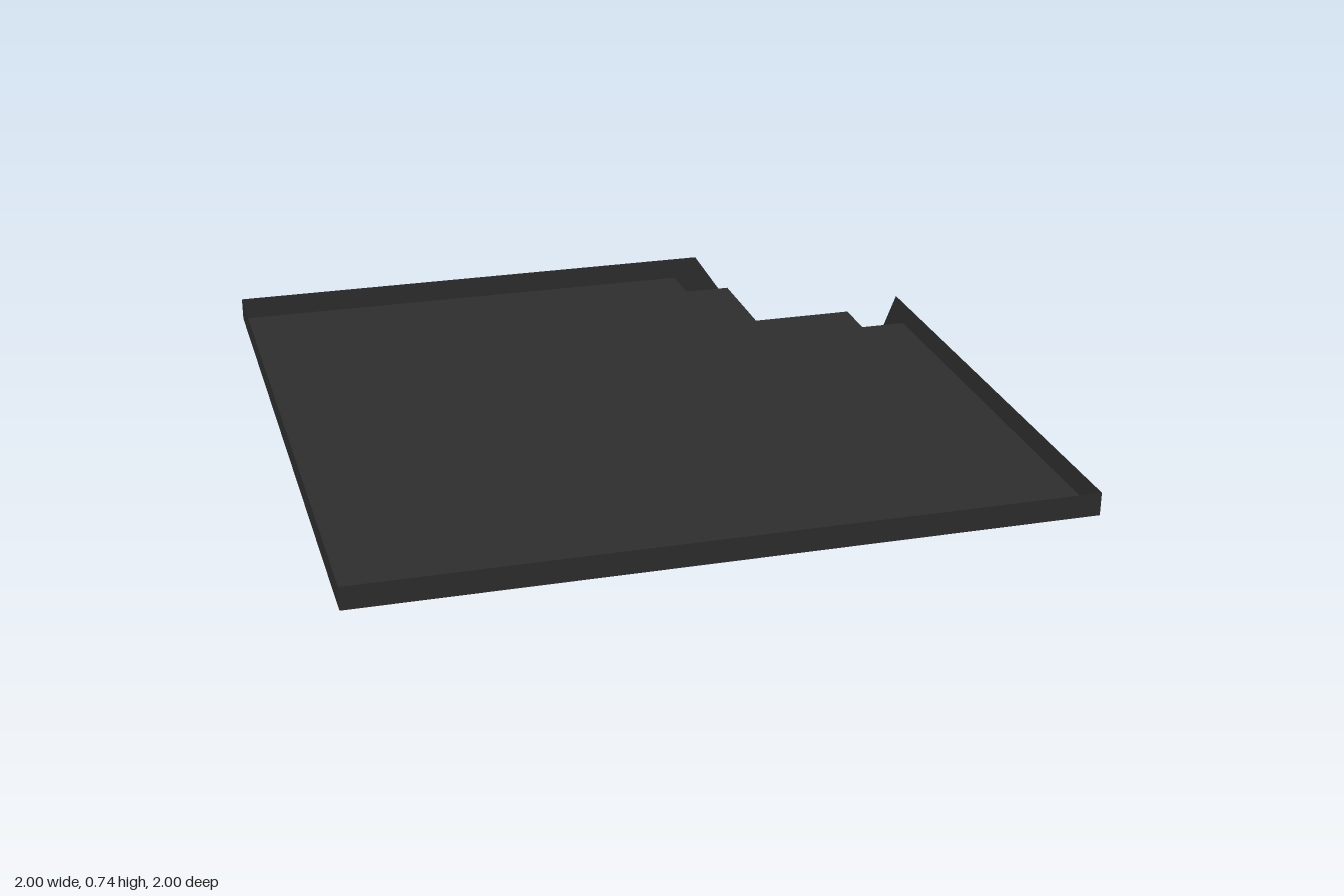
import * as THREE from 'three';

// Plan coordinates: a = x, b = -z, so the dropped corner is at a = b = 1.
const FLOOR = 0.67, RIM = 0.735;
const START = 0.42, FOOT = 0.89;      // slope begins / reaches the ground
const STEP = 0.56, STEP_END = 0.865;  // notch depth and far end
const slopeY = (a) => FLOOR * (FOOT - a) / (FOOT - START);

export function createModel() {
  const group = new THREE.Group();
  const charcoal = new THREE.MeshStandardMaterial({ color: 0x2e2e2e, side: THREE.DoubleSide });
  charcoal.name = 'charcoal';

  const add = (name, geometry) => {
    const mesh = new THREE.Mesh(geometry, charcoal);
    mesh.name = name;
    group.add(mesh);
  };

  // Flat convex panel from [a, b, y] corners; swapped mirrors it over the diagonal.
  const panel = (name, corners, swapped = false) => {
    const pts = corners.map(([a, b, y]) => (swapped ? [b, y, -a] : [a, y, -b]));
    if (swapped) pts.reverse();
    const pos = [];
    for (let i = 1; i < pts.length - 1; i++) pos.push(...pts[0], ...pts[i], ...pts[i + 1]);
    const g = new THREE.BufferGeometry();
    g.setAttribute('position', new THREE.Float32BufferAttribute(pos, 3));
    g.computeVertexNormals();
    add(name, g);
  };

  // Tray floor with the stepped corner cut away
  const outline = [[-1, -1], [1, -1], [1, START], [STEP_END, START], [STEP_END, STEP],
    [STEP, STEP], [STEP, STEP_END], [START, STEP_END], [START, 1], [-1, 1]];
  const floor = new THREE.ShapeGeometry(new THREE.Shape(outline.map((p) => new THREE.Vector2(...p))));
  floor.rotateX(-Math.PI / 2).translate(0, FLOOR, 0);
  add('trayFloor', floor);

  // Flat foot at the bottom of the dropped corner
  panel('foot', [[FOOT, FOOT, 0], [1, FOOT, 0], [1, 1, 0], [FOOT, 1, 0]]);

  for (const swapped of [false, true]) {
    const onSlope = (name, corners) =>
      panel(name, corners.map(([a, b]) => [a, b, slopeY(a)]), swapped);

    // Slope in pieces around the notch
    onSlope('slopeInnerCorner', [[START, START], [STEP, STEP], [START, STEP]]);
    onSlope('slopeMain', [[STEP, STEP], [FOOT, FOOT], [FOOT, 1], [STEP, 1]]);
    onSlope('slopeOuterStrip', [[START, STEP_END], [STEP, STEP_END], [STEP, 1], [START, 1]]);

    // Upright step wall and its triangular ends
    const low = slopeY(STEP);
    panel('stepWall', [[STEP, STEP, low], [STEP, STEP_END, low],
      [STEP, STEP_END, FLOOR], [STEP, STEP, FLOOR]], swapped);
    panel('stepEndOuter', [[START, STEP_END, FLOOR], [STEP, STEP_END, FLOOR],
      [STEP, STEP_END, low]], swapped);
    panel('stepEndInner', [[START, STEP, FLOOR], [STEP, STEP, low], [STEP, STEP, FLOOR]], swapped);

    // Thin rim: a full side, and a side that bends down to the foot
    panel('rimStraight', [[-1, 1, FLOOR], [-1, -1, FLOOR], [-1, -1, RIM], [-1, 1, RIM]], swapped);
    panel('rimLong', [[START, 1, FLOOR], [-1, 1, FLOOR], [-1, 1, RIM], [0.49, 1, RIM]], swapped);
    panel('rimLeg', [[FOOT, 1, 0], [START, 1, FLOOR], [0.49, 1, RIM], [1, 1, 0]], swapped);
  }
  return group;
}
